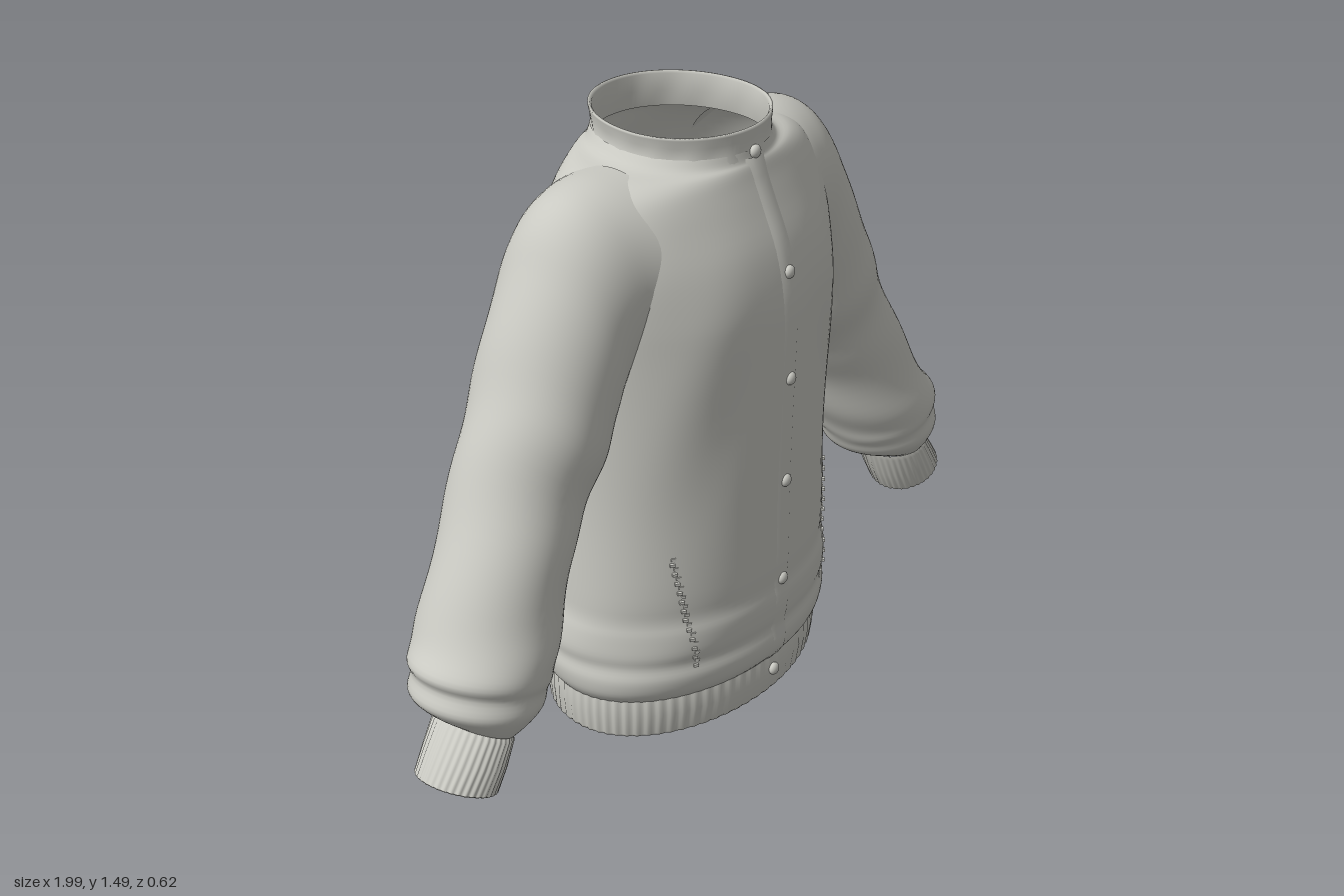
import * as THREE from 'three';

const cloth = new THREE.MeshStandardMaterial({ color: 0xc9c9c2, side: THREE.DoubleSide });
cloth.name = 'light grey cloth';

// Smooth sampling of a list of number rows (Catmull-Rom on every column)
function refine(rows, steps) {
  const out = [], n = rows.length - 1;
  for (let i = 0; i < n; i++) {
    for (let s = 0; s < steps; s++) {
      const t = s / steps;
      const p = k => rows[Math.min(n, Math.max(0, k))];
      out.push(rows[i].map((b, c) => {
        const a = p(i - 1)[c], d = p(i + 1)[c], e = p(i + 2)[c];
        return b + 0.5 * t * (d - a + t * (2 * a - 5 * b + 4 * d - e + t * (3 * (b - d) + e - a)));
      }));
    }
  }
  out.push(rows[n]);
  return out;
}

// Skin a tube through rings; place(row, angle, rowIndex) gives each point
function loft(name, rows, segs, place, flip) {
  const pos = [], idx = [];
  rows.forEach((r, i) => {
    for (let j = 0; j < segs; j++) {
      pos.push(...place(r, (j / segs) * Math.PI * 2, i));
      if (i === rows.length - 1) continue;
      const a = i * segs + j, b = i * segs + (j + 1) % segs, c = a + segs, d = b + segs;
      if (flip) idx.push(a, b, c, b, d, c);
      else idx.push(a, c, b, b, c, d);
    }
  });
  const g = new THREE.BufferGeometry();
  g.setAttribute('position', new THREE.Float32BufferAttribute(pos, 3));
  g.setIndex(idx);
  g.computeVertexNormals();
  const m = new THREE.Mesh(g, cloth);
  m.name = name;
  return m;
}

// Body rings: height, half width, front z, back z
const bodyRows = refine([
  [0.10, 0.405, 0.262, -0.287], [0.13, 0.425, 0.285, -0.298], [0.17, 0.432, 0.292, -0.302],
  [0.205, 0.425, 0.286, -0.296], [0.24, 0.428, 0.293, -0.294], [0.29, 0.420, 0.296, -0.288],
  [0.33, 0.411, 0.291, -0.281], [0.40, 0.410, 0.295, -0.276], [0.60, 0.404, 0.295, -0.274],
  [0.80, 0.408, 0.299, -0.272], [1.00, 0.415, 0.305, -0.270], [1.10, 0.418, 0.300, -0.270],
  [1.20, 0.415, 0.277, -0.267], [1.29, 0.395, 0.240, -0.252], [1.35, 0.360, 0.215, -0.236],
  [1.385, 0.300, 0.203, -0.228], [1.40, 0.235, 0.196, -0.223], [1.425, 0.206, 0.191, -0.220],
], 4);

const bump = (v, c, w) => Math.exp(-((v - c) ** 2) / (w * w));

function bodyPoint([y, hw, zf, zb], a) {
  const c = Math.cos(a), s = Math.sin(a);
  // soft drape: folds fanning from the armpits and slack above the hem
  const side = Math.abs(c);
  const k = 1 + 0.012 * side * (1 - side) * 4 * Math.sin(y * 9 + side * 9) * bump(y, 0.95, 0.3)
    + 0.008 * Math.sin(a * 5 + y * 14) * bump(y, 0.24, 0.1) * side;
  const z = s * (s > 0 ? zf : -zb) * k;
  return [c * hw * k, y - 0.05 * z * THREE.MathUtils.smoothstep(y, 1.36, 1.43), z];
}

// Body front depth at a given place, for trims
function frontZ(x, y) {
  let i = bodyRows.findIndex(r => r[0] >= y);
  i = i < 0 ? bodyRows.length - 1 : Math.max(1, i);
  const a = bodyRows[i - 1], b = bodyRows[i];
  const t = THREE.MathUtils.clamp((y - a[0]) / (b[0] - a[0]), 0, 1);
  const hw = a[1] + (b[1] - a[1]) * t, zf = a[2] + (b[2] - a[2]) * t;
  return zf * Math.sqrt(Math.max(0, 1 - (x / hw) ** 2));
}

// Sleeve rings: outer x, y, inner x, y, front z, back z
const sleeveRows = refine([
  [0.25, 1.400, 0.30, 1.000, 0.190, -0.210], [0.34, 1.398, 0.32, 0.950, 0.170, -0.195],
  [0.42, 1.375, 0.34, 0.900, 0.160, -0.188], [0.48, 1.320, 0.36, 0.850, 0.156, -0.184],
  [0.53, 1.235, 0.375, 0.810, 0.156, -0.182], [0.60, 1.105, 0.395, 0.765, 0.158, -0.178],
  [0.655, 0.990, 0.43, 0.720, 0.158, -0.170], [0.715, 0.870, 0.475, 0.655, 0.148, -0.160],
  [0.785, 0.735, 0.525, 0.570, 0.158, -0.150], [0.860, 0.590, 0.575, 0.470, 0.178, -0.142],
  [0.915, 0.500, 0.610, 0.405, 0.192, -0.135], [0.950, 0.455, 0.632, 0.370, 0.200, -0.124],
  [0.943, 0.420, 0.645, 0.345, 0.190, -0.116], [0.957, 0.380, 0.665, 0.315, 0.195, -0.116],
  [0.935, 0.345, 0.715, 0.288, 0.180, -0.098], [0.905, 0.318, 0.775, 0.264, 0.160, -0.050],
], 4);

function sleevePoint(side, ribs) {
  return ([ox, oy, ix, iy, zf, zb], a, i) => {
    const c = Math.cos(a), s = Math.sin(a);
    // diagonal creases along the arm, or knitted ribs on the cuff
    const fold = ribs ? 0.015 * Math.sin(a * 36)
      : 0.02 * Math.sin(i * 0.75 + a * 2) * bump(i, 32, 14);
    const k = 1 + fold;
    return [side * ((ox + ix) / 2 + c * k * (ox - ix) / 2), (oy + iy) / 2 + c * k * (oy - iy) / 2,
      (zf + zb) / 2 + s * k * (zf - zb) / 2];
  };
}

// Cuff rings: outside, rim, then folded back inside
const cuffRows = [
  [0.900, 0.322, 0.772, 0.262, 0.152, -0.040], [0.916, 0.312, 0.776, 0.248, 0.160, -0.044],
  [0.958, 0.262, 0.800, 0.190, 0.161, -0.040], [0.996, 0.214, 0.828, 0.136, 0.158, -0.034],
  [0.994, 0.209, 0.834, 0.134, 0.152, -0.028], [0.986, 0.210, 0.838, 0.141, 0.146, -0.022],
  [0.945, 0.262, 0.812, 0.198, 0.148, -0.027], [0.895, 0.310, 0.780, 0.258, 0.146, -0.032],
];

// Thin strip lying on the front between two x lines
function frontStrip(name, x0, x1, y0, y1, lift) {
  const g = new THREE.PlaneGeometry(1, 1, 4, 60), p = g.attributes.position;
  for (let i = 0; i < p.count; i++) {
    const x = x0 + (p.getX(i) + 0.5) * (x1 - x0), y = y0 + (p.getY(i) + 0.5) * (y1 - y0);
    const edge = Math.abs(p.getX(i)) > 0.49 ? -0.003 : lift;
    p.setXYZ(i, x, y, frontZ(x, y) + edge);
  }
  g.computeVertexNormals();
  const m = new THREE.Mesh(g, cloth);
  m.name = name;
  return m;
}

export function createModel() {
  const jacket = new THREE.Group();
  jacket.name = 'jacket';
  jacket.add(loft('body', bodyRows, 96, bodyPoint));

  // Ribbed hem band, folded inside
  const hemRows = [
    [0.10, 0.385, 0.245, -0.268], [0.015, 0.388, 0.245, -0.272], [0.001, 0.393, 0.250, -0.279],
    [0.0, 0.399, 0.256, -0.285], [0.008, 0.404, 0.262, -0.291], [0.06, 0.409, 0.270, -0.294],
    [0.105, 0.409, 0.268, -0.293], [0.116, 0.404, 0.260, -0.285],
  ];
  jacket.add(loft('hemBand', hemRows, 360, ([y, w, f, b], a) => {
    const k = 1 + 0.005 * Math.sin(a * 72), s = Math.sin(a);
    return [w * k * Math.cos(a), y, s * k * (s > 0 ? f : -b)];
  }));

  // Standing collar with a rolled rim, higher at the back
  const collarRows = [
    [1.405, 0.214, 0.196, -0.223], [1.425, 0.205, 0.190, -0.219], [1.45, 0.207, 0.189, -0.221],
    [1.470, 0.212, 0.190, -0.224], [1.475, 0.213, 0.189, -0.224], [1.476, 0.208, 0.185, -0.220],
    [1.470, 0.203, 0.181, -0.216], [1.43, 0.200, 0.180, -0.214], [1.39, 0.208, 0.186, -0.218],
  ];
  jacket.add(loft('collar', collarRows, 120, ([y, w, f, b], a) => {
    const s = Math.sin(a), k = 1 + 0.008 * Math.sin(a * 14) * bump(y, 1.42, 0.02);
    const z = s * k * (s > 0 ? f : -b);
    return [w * k * Math.cos(a), y - 0.05 * z, z];
  }));

  // Sleeves and cuffs
  for (const side of [1, -1]) {
    const label = side > 0 ? 'left' : 'right';
    jacket.add(loft(label + 'Sleeve', sleeveRows, 64, sleevePoint(side, false), side > 0));
    jacket.add(loft(label + 'Cuff', cuffRows, 216, sleevePoint(side, true), side > 0));

    // Slanted pocket zip made of small teeth
    const zip = new THREE.Group();
    zip.name = label + 'PocketZip';
    for (let i = 0; i < 24; i++) {
      const t = i / 23, x = side * (0.255 + 0.05 * t), y = 0.2 + 0.3 * t;
      const tooth = new THREE.Mesh(new THREE.BoxGeometry(0.012, 0.007, 0.008), cloth);
      tooth.name = 'zipTooth';
      tooth.position.set(x + (i % 2 ? 0.004 : -0.004), y, frontZ(x, y) + 0.001);
      tooth.rotation.y = side * 0.6;
      zip.add(tooth);
    }
    jacket.add(zip);
  }

  // Front placket and its snap buttons
  jacket.add(frontStrip('placket', -0.035, 0.035, 0.11, 1.4, 0.003));
  const snap = new THREE.SphereGeometry(0.016, 20, 14);
  [[0.07, 0.272], [0.34], [0.61], [0.88], [1.145], [1.41, 0.193]].forEach(([y, z]) => {
    const b = new THREE.Mesh(snap, cloth);
    b.name = 'snapButton';
    b.position.set(0, y, (z ?? frontZ(0, y)) + 0.003);
    b.scale.z = 0.7;
    jacket.add(b);
  });
  return jacket;
}
